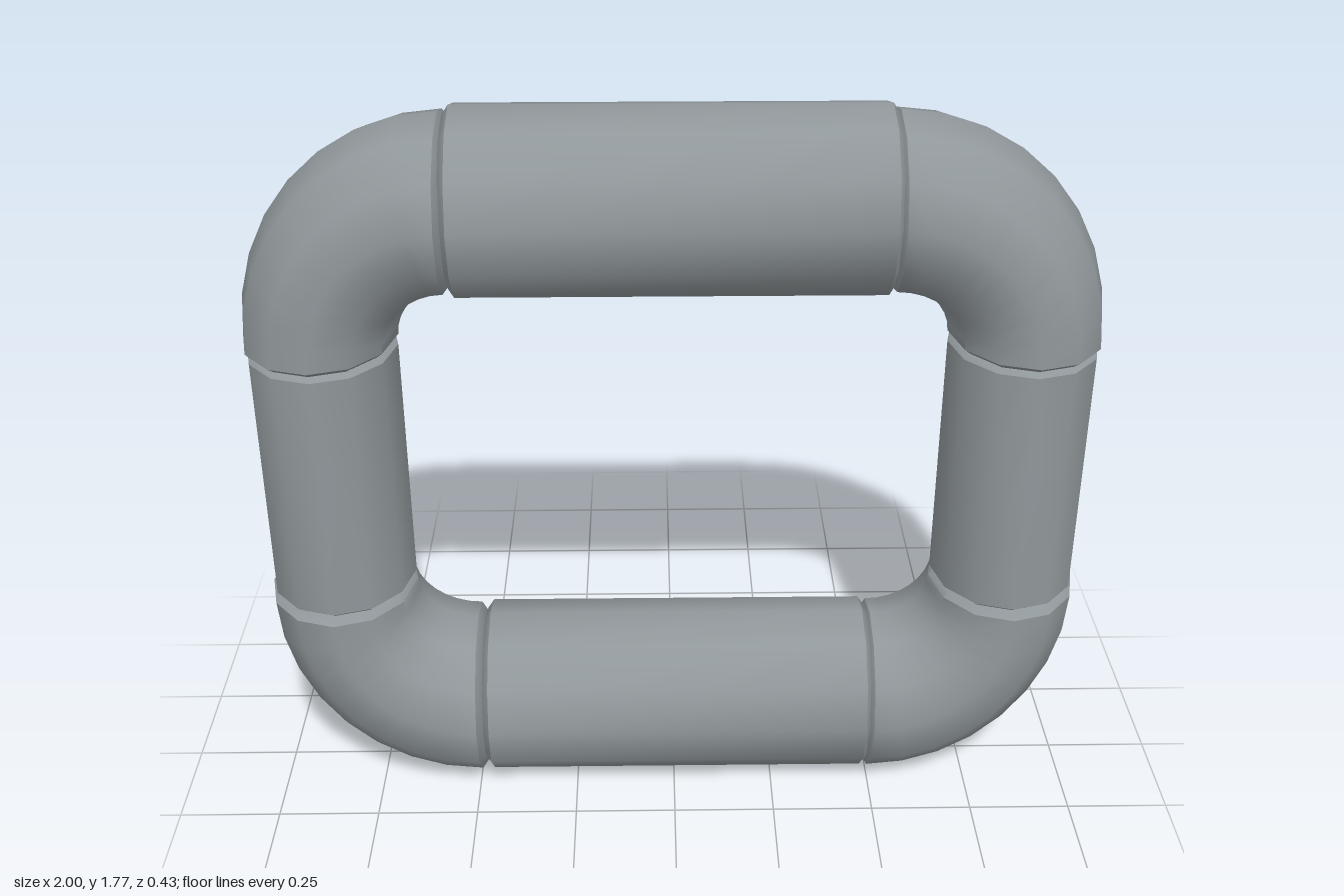
import * as THREE from 'three';
import { toCreasedNormals } from 'three/addons/utils/BufferGeometryUtils.js';

const SIDES = 12, STEPS = 8, LIP = 0.015, LIP_SCALE = 0.9;
const material = new THREE.MeshStandardMaterial({ color: 0x90979a });

function addMesh(group, geometry, name) {
  const mesh = new THREE.Mesh(toCreasedNormals(geometry, 0.8), material);
  mesh.name = name;
  group.add(mesh);
  return mesh;
}

// Straight pipe along y with chamfered, closed ends; oval section rx by rz
function pipe(length, rx, rz) {
  const h = length / 2;
  const profile = [
    [0, -h - LIP], [LIP_SCALE, -h - LIP], [1, -h], [1, h], [LIP_SCALE, h + LIP], [0, h + LIP],
  ].map(([r, y]) => new THREE.Vector2(r, y));
  const geometry = new THREE.LatheGeometry(profile, SIDES);
  geometry.scale(rx, 1, rz);
  return geometry;
}

// Quarter bend around the local origin, swept from +x to +y, mirrored by sx and sy
function elbow(sx, sy, bendX, bendY, rx, ry, rz) {
  const positions = [], index = [];
  // Rings: [angle, section scale, overrun past the end]
  const rings = [[0, 0, LIP], [0, LIP_SCALE, LIP]];
  for (let i = 0; i <= STEPS; i++) rings.push([(i / STEPS) * Math.PI / 2, 1, 0]);
  rings.push([Math.PI / 2, LIP_SCALE, LIP], [Math.PI / 2, 0, LIP]);
  rings.forEach(([a, s, over], i) => {
    const first = i < STEPS;
    for (let j = 0; j < SIDES; j++) {
      const p = (j / SIDES) * Math.PI * 2;
      const x = (bendX + rx * s * Math.cos(p)) * Math.cos(a) - (first ? 0 : over);
      const y = (bendY + ry * s * Math.cos(p)) * Math.sin(a) - (first ? over : 0);
      positions.push(sx * x, sy * y, rz * s * Math.sin(p));
      if (i === rings.length - 1) continue;
      const k = (j + 1) % SIDES;
      const q = [i * SIDES + j, i * SIDES + k, (i + 1) * SIDES + k, (i + 1) * SIDES + j];
      if (sx * sy > 0) q.reverse();
      index.push(q[0], q[1], q[2], q[0], q[2], q[3]);
    }
  });
  const geometry = new THREE.BufferGeometry();
  geometry.setAttribute('position', new THREE.Float32BufferAttribute(positions, 3));
  geometry.setIndex(index);
  return geometry;
}

export function createModel() {
  const group = new THREE.Group();
  group.name = 'pipeFrame';

  // Horizontal pipes: name, length, x, y, radius
  for (const [name, length, x, y, r] of [
    ['topPipe', 0.975, -0.005, 1.555, 0.22],
    ['bottomPipe', 0.945, 0.008, 0.227, 0.218],
  ]) {
    const bar = addMesh(group, pipe(length, r, 0.216), name);
    bar.rotation.z = Math.PI / 2;
    bar.position.set(x, y, 0);
  }

  for (const [side, sx, topX, bottomX] of [['left', 1, 0.5, 0.5], ['right', -1, 0.518, 0.495]]) {
    // Upright pipes
    const post = addMesh(group, pipe(0.62, 0.176, 0.206), side + 'Pipe');
    post.position.set(sx * 0.818, 0.89, 0);

    // Corner bends
    const top = addMesh(group, elbow(sx, 1, 0.82 - topX, 0.325, 0.18, 0.208, 0.216), side + 'TopElbow');
    top.position.set(sx * topX, 1.227, 0);
    const bottom = addMesh(group, elbow(sx, -1, 0.82 - bottomX, 0.33, 0.18, 0.215, 0.216), side + 'BottomElbow');
    bottom.position.set(sx * bottomX, 0.553, 0);
  }
  return group;
}
